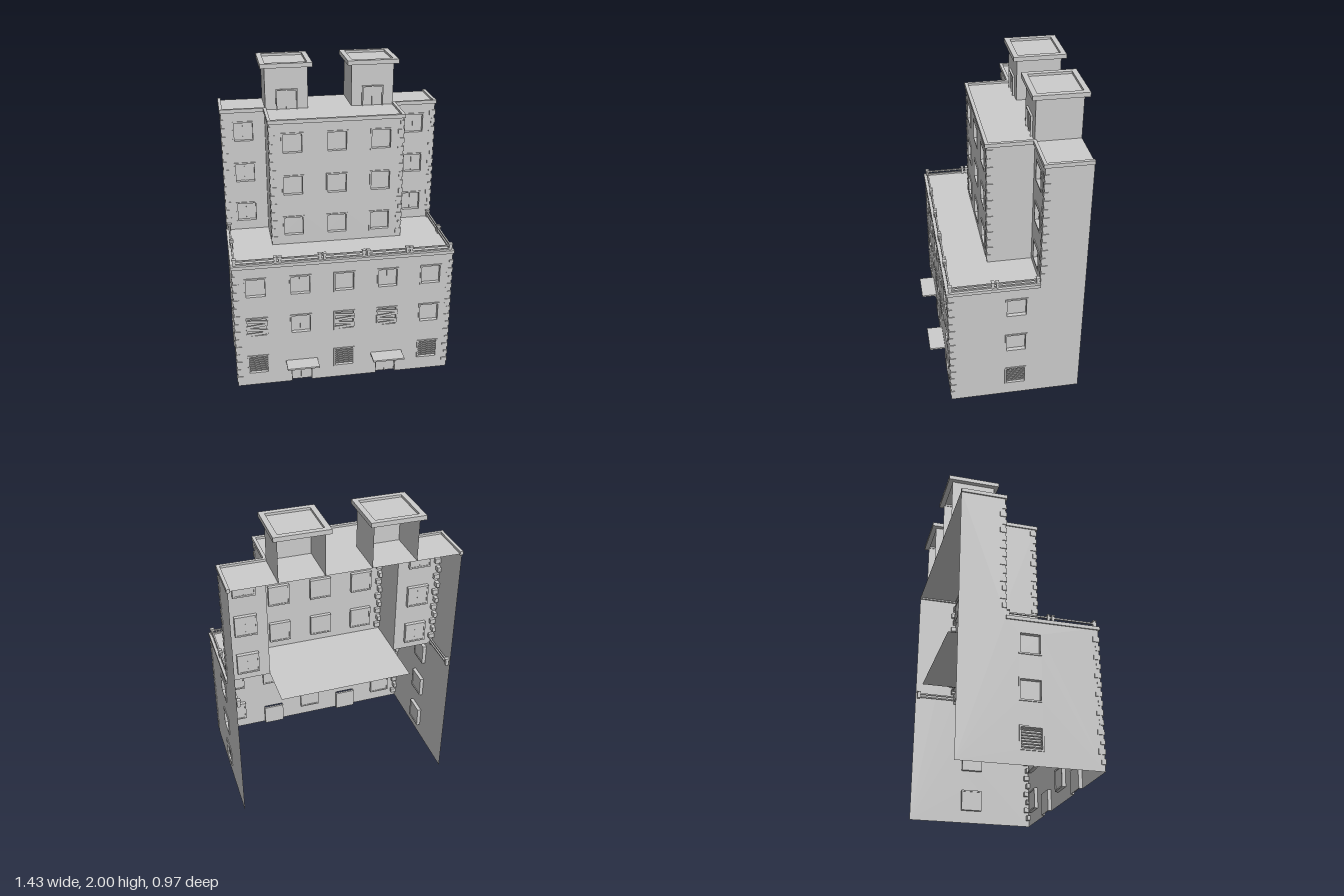
import * as THREE from 'three';

const mat = new THREE.MeshStandardMaterial({ color: 0xcccccc, side: THREE.DoubleSide, flatShading: true });
const X = 0.705, CX = 0.425;                 // half widths: whole block, centre block
const ZF = 0.385, ZC = 0.103, ZW = -0.178, ZB = -0.458; // front, centre front, wing front, back
const YT = 0.875, YR = 1.7;                  // terrace and roof heights
const W = 0.07;                              // window half size
const COLS = [-0.565, -0.282, 0, 0.282, 0.565];
const ROWS = [0.155, 0.437, 0.72, 1.0, 1.28, 1.56];

function mesh(parent, name, geo, x = 0, y = 0, z = 0) {
  const m = new THREE.Mesh(geo, mat);
  m.name = name;
  m.position.set(x, y, z);
  parent.add(m);
  return m;
}

const box = (parent, name, w, h, d, x, y, z) => mesh(parent, name, new THREE.BoxGeometry(w, h, d), x, y, z);

// Box given by its limits
const span = (parent, name, x0, x1, y0, y1, z0, z1) =>
  box(parent, name, Math.abs(x1 - x0), y1 - y0, Math.abs(z1 - z0), (x0 + x1) / 2, (y0 + y1) / 2, (z0 + z1) / 2);

const polygon = (pts) => new THREE.Shape(pts.map(([x, y]) => new THREE.Vector2(x, y)));
const square = (x, y, r) => [[x - r, y - r], [x + r, y - r], [x + r, y + r], [x - r, y + r]];

// Frame ring shared by all windows
const frameShape = polygon(square(0, 0, W));
frameShape.holes.push(polygon(square(0, 0, W - 0.01)));
const frameGeo = new THREE.ExtrudeGeometry(frameShape, { depth: 0.03, bevelEnabled: false });

function addWindow(wall, x, y, kind) {
  const g = new THREE.Group();
  g.name = 'window';
  g.position.set(x, y, 0);
  wall.add(g);
  mesh(g, 'windowFrame', frameGeo, 0, 0, -0.024);
  mesh(g, 'windowPane', new THREE.PlaneGeometry(2 * W, 2 * W), 0, 0, -0.02);
  if (kind === 'double') box(g, 'mullion', 0.008, 0.12, 0.006, 0, 0, -0.018);
  if (kind === 'slats') {
    for (let i = 0; i < 7; i++) box(g, 'slat', 0.12, 0.006, 0.008, 0, -0.048 + i * 0.016, -0.006);
  }
  if (kind === 'boards') {
    [[-0.046, 0.06], [-0.018, -0.13], [0.012, 0.1], [0.042, -0.08]].forEach(([by, tilt]) => {
      box(g, 'board', 0.138, 0.018, 0.006, 0, by, 0.006).rotation.z = tilt;
    });
  }
}

// Flat wall with window openings; windows are [x, y, kind]
function addWall(parent, name, pts, windows, pos, rotY = 0) {
  const g = new THREE.Group();
  g.name = name;
  g.position.set(...pos);
  g.rotation.y = rotY;
  parent.add(g);
  const shape = polygon(pts);
  windows.forEach(([x, y]) => shape.holes.push(polygon(square(x, y, W - 0.003))));
  mesh(g, name + 'Surface', new THREE.ShapeGeometry(shape));
  windows.forEach((w) => addWindow(g, ...w));
  return g;
}

// T-shaped slab lying flat, outline in x and z
function addDeck(parent, name, pts, y) {
  const m = mesh(parent, name, new THREE.ShapeGeometry(polygon(pts.map(([x, z]) => [x, -z]))), 0, y, 0);
  m.rotation.x = -Math.PI / 2;
}

// Alternating corner stones
function addQuoins(parent, s, x, z, y0, y1) {
  const step = 0.057;
  for (let y = y0, i = 0; y + 0.03 < y1; y += step, i++) {
    const a = i % 2 ? 0.022 : 0.036, b = i % 2 ? 0.036 : 0.022;
    span(parent, 'cornerStone', s * (x - a), s * (x + 0.005), y, y + 0.032, z - b, z + 0.005);
  }
}

function addDoor(parent, x, y, z, h) {
  const g = new THREE.Group();
  g.name = 'door';
  g.position.set(x, y, z);
  parent.add(g);
  box(g, 'doorPanel', 0.14, h, 0.004, 0, h / 2, -0.002);
  for (const s of [-1, 1]) box(g, 'doorJamb', 0.008, h, 0.012, s * 0.066, h / 2, 0.004);
  box(g, 'doorHead', 0.14, 0.008, 0.012, 0, h - 0.004, 0.004);
  box(g, 'doorMeeting', 0.008, h, 0.008, 0, h / 2, 0.002);
}

function addTower(parent, cx) {
  const g = new THREE.Group();
  g.name = 'roofTower';
  g.position.x = cx;
  parent.add(g);
  const r = 0.138, top = 1.985, zc = (ZW + ZB) / 2;
  const h = top - YR, d = ZW - ZB;
  mesh(g, 'towerFront', new THREE.PlaneGeometry(2 * r, h), 0, YR + h / 2, ZW);
  for (const s of [-1, 1]) {
    mesh(g, 'towerSide', new THREE.PlaneGeometry(d, h), s * r, YR + h / 2, zc).rotation.y = s * Math.PI / 2;
  }
  // Overhanging rim around a sunken top
  const rim = polygon(square(0, 0, 0.167));
  rim.holes.push(polygon(square(0, 0, 0.134)));
  const m = mesh(g, 'towerRim', new THREE.ExtrudeGeometry(rim, { depth: 0.028, bevelEnabled: false }), 0, 1.972, zc);
  m.rotation.x = -Math.PI / 2;
  mesh(g, 'towerTop', new THREE.PlaneGeometry(2 * r, d), 0, top, zc).rotation.x = -Math.PI / 2;
  addDoor(g, 0, YR, ZW + 0.003, 0.13);
}

function addRailing(parent) {
  const g = new THREE.Group();
  g.name = 'terraceRailing';
  parent.add(g);
  const zr = 0.37, xr = 0.69;
  const post = (w, d, x, z) => {
    box(g, 'post', w, 0.05, d, x, 0.9, z);
    box(g, 'postCap', w + 0.008, 0.007, d + 0.004, x, 0.922, z);
  };
  for (const y of [0.886, 0.909]) {
    box(g, 'frontRail', 2 * xr, 0.009, 0.01, 0, y, zr);
    for (const s of [-1, 1]) span(g, 'sideRail', s * xr - 0.005, s * xr + 0.005, y - 0.0045, y + 0.0045, ZB + 0.01, zr);
  }
  for (const s of [-1, 1]) {
    for (const x of [0.14, 0.42]) for (const o of [-0.014, 0.014]) post(0.016, 0.02, s * x + o, zr);
    for (const o of [-0.014, 0.014]) post(0.02, 0.016, s * xr, 0.097 + o);
    for (const z of [zr, -0.165, ZB + 0.02]) post(0.02, 0.02, s * xr, z);
  }
}

export function createModel() {
  const root = new THREE.Group();
  root.name = 'apartmentBuilding';

  // Lower front wall, notched at the two doorways
  const outline = [[-X, 0]];
  for (const c of [-0.282, 0.282]) outline.push([c - 0.07, 0], [c - 0.07, 0.14], [c + 0.07, 0.14], [c + 0.07, 0]);
  outline.push([X, 0], [X, YT], [-X, YT]);
  const lower = [];
  COLS.forEach((x, i) => {
    const odd = i % 2 === 1;
    if (!odd) lower.push([x, ROWS[0], 'slats']);
    lower.push([x, ROWS[1], [0, 2, 3].includes(i) ? 'boards' : odd ? 'double' : 'plain']);
    lower.push([x, ROWS[2], odd ? 'double' : 'plain']);
  });
  addWall(root, 'lowerFrontWall', outline, lower, [0, 0, ZF]);

  // Upper centre front
  const centre = [];
  for (const y of ROWS.slice(3)) for (const x of COLS.slice(1, 4)) centre.push([x, y, x === 0 ? 'double' : 'plain']);
  addWall(root, 'centreFrontWall', [[-CX, YT], [CX, YT], [CX, YR], [-CX, YR]], centre, [0, 0, ZC]);

  for (const s of [-1, 1]) {
    // Stepped side wall, centre block side, wing front
    const u = (z) => -s * z;
    addWall(root, 'sideWall',
      [[u(ZF), 0], [u(ZB), 0], [u(ZB), YR], [u(ZW), YR], [u(ZW), YT], [u(ZF), YT]],
      ROWS.slice(0, 3).map((y, i) => [u(-0.035), y, i ? 'plain' : 'slats']), [s * X, 0, 0], s * Math.PI / 2);
    addWall(root, 'centreSideWall', [[u(ZC), YT], [u(ZW), YT], [u(ZW), YR], [u(ZC), YR]], [],
      [s * CX, 0, 0], s * Math.PI / 2);
    const a = s * CX, b = s * X;
    addWall(root, 'wingFrontWall', [[a, YT], [b, YT], [b, YR], [a, YR]],
      ROWS.slice(3).map((y) => [s * 0.565, y, 'double']), [0, 0, ZW]);

    addQuoins(root, s, X, ZF, 0.04, 0.85);
    addQuoins(root, s, CX, ZC, 0.9, 1.69);
    addQuoins(root, s, X, ZW, 0.93, 1.69);

    // Entrances with canopies
    addDoor(root, s * 0.282, 0, ZF - 0.02, 0.14);
    for (const e of [-1, 1]) span(root, 'doorReveal', s * 0.282 + e * 0.07, s * 0.282 + e * 0.066, 0, 0.14, ZF - 0.02, ZF);
    span(root, 'canopy', s * 0.282 - 0.104, s * 0.282 + 0.104, 0.153, 0.164, ZF, 0.488);
    span(root, 'canopyUnderside', s * 0.282 - 0.09, s * 0.282 + 0.09, 0.145, 0.153, ZF, 0.475);

    // Side runs of the cornices
    span(root, 'terraceCornice', s * (X - 0.012), s * (X + 0.008), 0.86, 0.882, ZW, ZF + 0.008);
    span(root, 'centreCornice', s * (CX - 0.012), s * (CX + 0.008), 1.69, 1.714, ZW, ZC + 0.01);
    span(root, 'wingCornice', s * (CX - 0.008), s * (X + 0.008), 1.69, 1.714, ZW - 0.01, ZW + 0.01);
    span(root, 'wingSideCornice', s * (X - 0.012), s * (X + 0.008), 1.69, 1.714, ZB, ZW + 0.01);

    addTower(root, s * 0.28);
  }
  span(root, 'terraceFrontCornice', -X - 0.008, X + 0.008, 0.86, 0.882, ZF - 0.012, ZF + 0.01);
  span(root, 'centreFrontCornice', -CX - 0.008, CX + 0.008, 1.69, 1.714, ZC - 0.01, ZC + 0.012);

  // Terrace runs back under the centre block; roof covers centre and wings
  addDeck(root, 'terraceDeck', [[-X, ZF], [X, ZF], [X, ZW], [CX, ZW], [CX, ZB], [-CX, ZB], [-CX, ZW], [-X, ZW]], YT);
  addDeck(root, 'roofDeck', [[-CX, ZC], [CX, ZC], [CX, ZW], [X, ZW], [X, ZB], [-X, ZB], [-X, ZW], [-CX, ZW]], YR);
  addRailing(root);
  return root;
}
